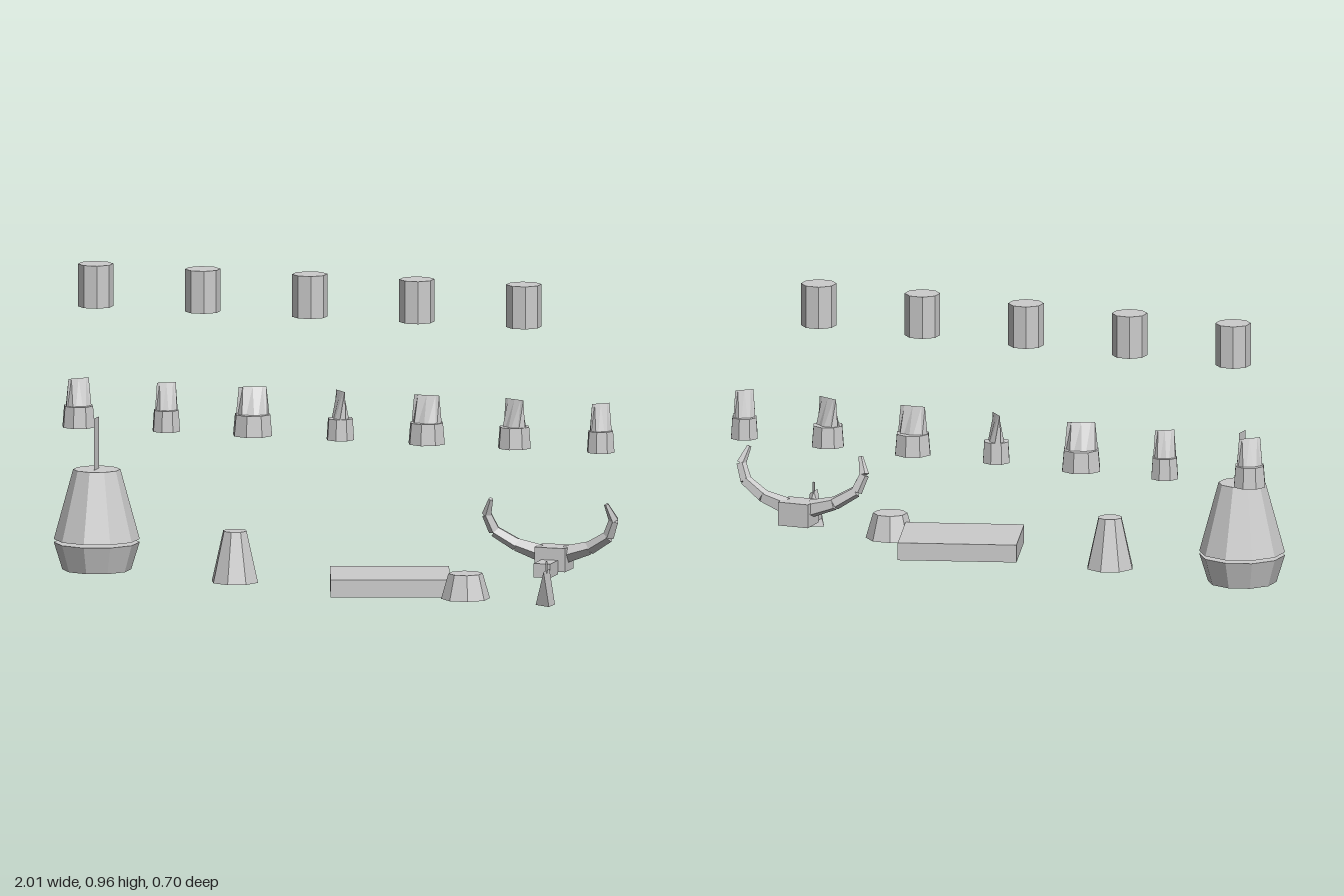
import * as THREE from 'three';

export function createModel() {
  const model = new THREE.Group();
  const grey = new THREE.MeshStandardMaterial({ color: 0xcccccc, flatShading: true, side: THREE.DoubleSide });
  grey.name = 'plainGrey';

  function add(name, geometry, x, y, z, parent = model) {
    const mesh = new THREE.Mesh(geometry, grey);
    mesh.name = name;
    mesh.position.set(x, y, z);
    parent.add(mesh);
    return mesh;
  }

  // Tapered prism standing on height y0
  function prism(name, rTop, rBottom, y0, y1, sides, x, z, start = 0) {
    const g = new THREE.CylinderGeometry(rTop, rBottom, y1 - y0, sides, 1, false, start);
    return add(name, g, x, (y0 + y1) / 2, z);
  }

  // Squash the top ring of a prism into a ridge
  function ridge(mesh, axis) {
    const p = mesh.geometry.attributes.position;
    for (let i = 0; i < p.count; i++) {
      if (p.getY(i) > 0) axis === 'x' ? p.setX(i, 0) : p.setZ(i, 0);
    }
    mesh.geometry = mesh.geometry.toNonIndexed();
    mesh.geometry.computeVertexNormals();
    return mesh;
  }

  // Tapered bar between two points
  function bar(name, a, b, ra, rb, parent) {
    const dir = b.clone().sub(a);
    const mesh = add(name, new THREE.CylinderGeometry(rb, ra, dir.length(), 5), 0, 0, 0, parent);
    mesh.position.copy(a).add(b).multiplyScalar(0.5);
    mesh.quaternion.setFromUnitVectors(new THREE.Vector3(0, 1, 0), dir.normalize());
  }

  // Upper shelf of straight jars
  for (let i = 0; i < 5; i++) prism('jar', 0.058, 0.058, 0.82, 0.96, 8, -0.887 + i * 0.366, -0.283, Math.PI / 8);

  // Lower shelf of wedge-necked bottles: x, radius, turn
  const bottles = [
    [-0.945, 0.055, 0.8], [-0.645, 0.047, 0.6], [-0.35, 0.067, 0.45], [-0.05, 0.047, -0.79],
    [0.245, 0.062, 0.05], [0.545, 0.056, -0.4], [0.84, 0.047, 0.79],
  ];
  for (const [x, r, turn] of bottles) {
    prism('bottleBase', r * 0.9, r, 0.42, 0.49, 8, x, -0.283);
    const neck = ridge(prism('bottleNeck', r * 0.68, r * 0.92, 0.42, 0.58, 8, x, -0.283, Math.PI / 2), 'z');
    neck.rotation.y = turn;
  }

  // Large urn in two halves with a flat plume
  prism('urnBase', 0.14, 0.112, 0.01, 0.1, 10, -0.77, 0.07);
  prism('urnBody', 0.077, 0.14, 0.11, 0.34, 10, -0.77, 0.07);
  const plume = add('urnPlume', new THREE.PlaneGeometry(0.055, 0.17), -0.77, 0.425, 0.072);
  plume.rotation.y = Math.PI / 2;

  // Small pot and short cup
  prism('pot', 0.04, 0.079, 0, 0.168, 8, -0.28, 0.125);
  prism('cup', 0.056, 0.08, 0, 0.083, 8, 0.545, 0.24, Math.PI / 8);

  // Slab book
  const book = add('book', new THREE.BoxGeometry(0.388, 0.058, 0.298), 0.258, 0.029, 0.152);
  book.rotation.y = 0.314;

  // Candle stub with wick
  ridge(prism('candle', 0.037, 0.037, 0, 0.115, 3, 0.842, 0.303, -Math.PI / 2), 'x');
  add('wick', new THREE.BoxGeometry(0.006, 0.04, 0.007), 0.842, 0.125, 0.303);

  // Horned skull
  const skull = new THREE.Group();
  skull.name = 'hornedSkull';
  skull.position.x = 0.775;
  model.add(skull);
  add('cranium', new THREE.BoxGeometry(0.105, 0.078, 0.09), 0, 0.112, 0.015, skull);
  add('snout', new THREE.BoxGeometry(0.056, 0.046, 0.088), 0, 0.088, 0.102, skull);
  const path = [[0.045, 0.128, 0.015], [0.125, 0.152, 0.02], [0.195, 0.195, 0.037], [0.217, 0.25, 0.05], [0.197, 0.305, 0.07]];
  const radii = [0.03, 0.023, 0.02, 0.017, 0.008];
  for (const side of [-1, 1]) {
    const pts = path.map(([x, y, z]) => new THREE.Vector3(x * side, y, z));
    for (let i = 0; i < pts.length - 1; i++) bar('horn', pts[i], pts[i + 1], radii[i], radii[i + 1], skull);
  }

  return model;
}
